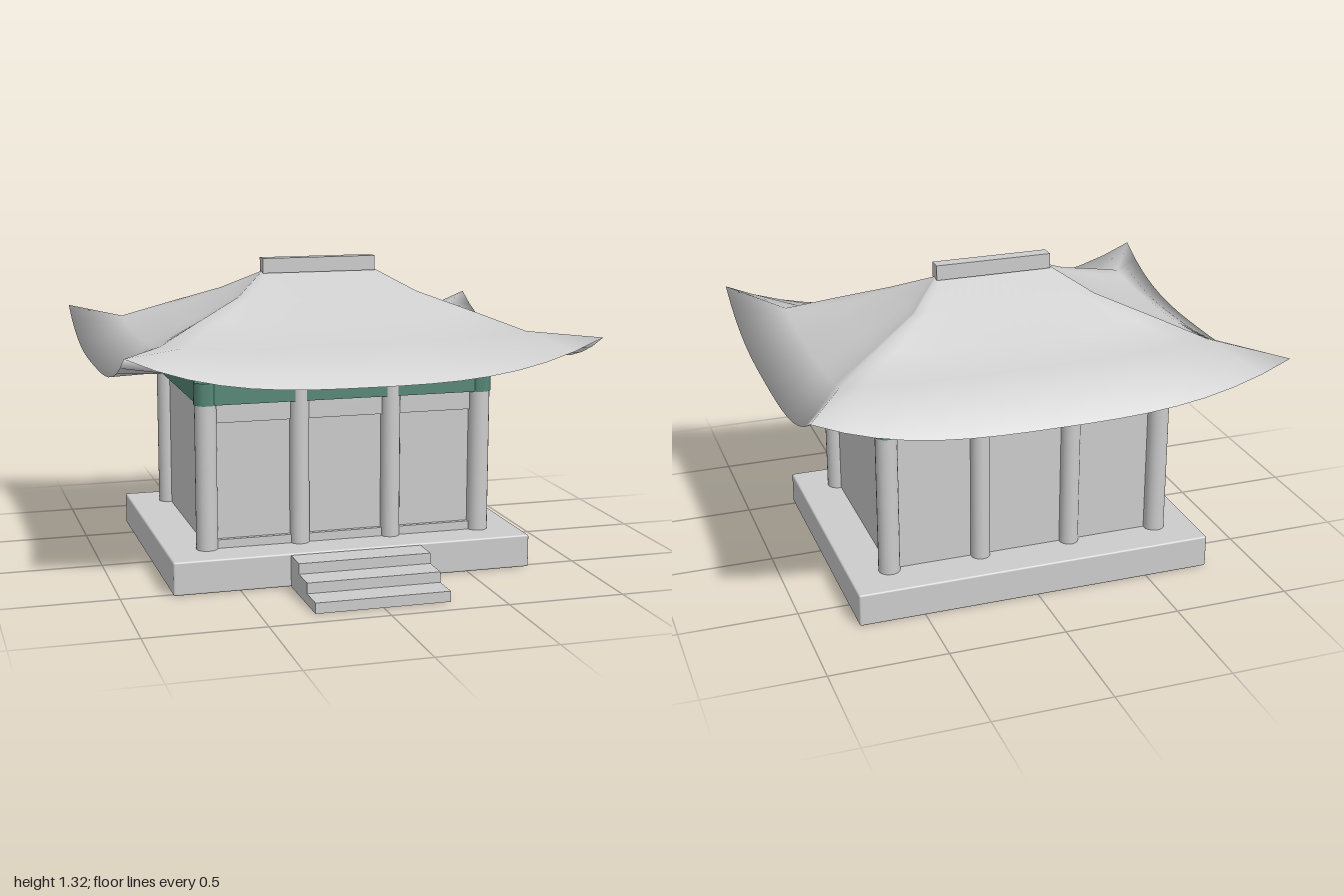
import * as THREE from 'three';
import { RoundedBoxGeometry } from 'three/addons/geometries/RoundedBoxGeometry.js';

const ZC = -0.08; // centre of the hall in z

const grey = new THREE.MeshStandardMaterial({ color: 0xcccccc });
grey.name = 'stone grey';
const green = new THREE.MeshStandardMaterial({ color: 0x558777 });
green.name = 'beam green';

function add(parent, name, geometry, material, x = 0, y = 0, z = 0) {
  const mesh = new THREE.Mesh(geometry, material);
  mesh.name = name;
  mesh.position.set(x, y, z);
  parent.add(mesh);
  return mesh;
}

// box given by its low and high limits on each axis
function block(parent, name, material, [x0, x1], [y0, y1], [z0, z1]) {
  return add(parent, name, new THREE.BoxGeometry(x1 - x0, y1 - y0, z1 - z0), material,
    (x0 + x1) / 2, (y0 + y1) / 2, (z0 + z1) / 2);
}

function post(parent, name, material, r, y0, y1, x, z, sides = 20) {
  return add(parent, name, new THREE.CylinderGeometry(r, r, y1 - y0, sides), material, x, (y0 + y1) / 2, z);
}

// swept hip roof: rectangular rings from the ridge to the eave, then back underneath
function roofGeometry() {
  // half width, half depth, height mid-side, height at the corner
  const rings = [
    [0.25, 0, 1.26, 1.26],
    [0.4, 0.18, 1.155, 1.17],
    [0.6, 0.33, 1.065, 1.095],
    [0.8, 0.48, 0.985, 1.017],
    [1, 0.82, 0.87, 1.03],
    [0.78, 0.6, 0.88, 0.93],
  ];
  const N = 16, count = 4 * N;
  const position = [], index = [];
  for (const [hx, hz, mid, corner] of rings) {
    for (let side = 0; side < 4; side++) {
      for (let i = 0; i < N; i++) {
        const u = -1 + (2 * i) / N;
        const y = mid + (corner - mid) * Math.abs(u) ** 3;
        const [x, z] = [[u * hx, hz], [hx, -u * hz], [-u * hx, -hz], [-hx, u * hz]][side];
        position.push(x, y, z);
      }
    }
  }
  for (let r = 0; r < rings.length - 1; r++) {
    for (let j = 0; j < count; j++) {
      const k = (j + 1) % count;
      const a = r * count + j, b = r * count + k;
      index.push(a + count, b + count, b, a + count, b, a);
    }
  }
  // close the underside
  const last = (rings.length - 1) * count, centre = position.length / 3;
  position.push(0, 0.88, 0);
  for (let j = 0; j < count; j++) index.push(centre, last + ((j + 1) % count), last + j);

  const geometry = new THREE.BufferGeometry();
  geometry.setAttribute('position', new THREE.Float32BufferAttribute(position, 3));
  geometry.setIndex(index);
  geometry.computeVertexNormals();
  return geometry;
}

export function createModel() {
  const model = new THREE.Group();
  model.name = 'pavilion';

  // plinth and front stairs
  add(model, 'plinth', new RoundedBoxGeometry(1.565, 0.143, 1.21, 2, 0.008), grey, 0, 0.0715, ZC);
  const stairs = new THREE.Group();
  stairs.name = 'stairs';
  model.add(stairs);
  for (let i = 0; i < 3; i++) {
    const z = 0.525 + i * 0.125;
    block(stairs, 'step', grey, [-0.285, 0.285], [0, 0.135 - i * 0.045], [z, z + 0.125]);
  }

  // hall walls
  block(model, 'hall', grey, [-0.6, 0.6], [0.14, 0.8], [ZC - 0.425, ZC + 0.425]);

  // lintels and sills in the three front bays
  for (const [x0, x1] of [[-0.565, -0.24], [-0.165, 0.165], [0.24, 0.565]]) {
    block(model, 'lintel', grey, [x0, x1], [0.68, 0.765], [0.34, 0.36]);
    block(model, 'sill', grey, [x0, x1], [0.143, 0.18], [0.34, 0.365]);
  }

  // columns, corner caps and beams
  for (const side of [-1, 1]) {
    const z = ZC + side * 0.432;
    for (const x of [-0.605, 0.605]) {
      post(model, 'cornerColumn', grey, 0.046, 0.143, 0.77, x, z);
      post(model, 'cornerCap', green, 0.05, 0.76, 0.855, x, z, 8).rotation.y = Math.PI / 8;
    }
    for (const x of [-0.202, 0.202]) post(model, 'innerColumn', grey, 0.042, 0.143, 0.83, x, z);
    block(model, 'longBeam', green, [-0.605, 0.605], [0.76, 0.855], [z - 0.034, z + 0.034]);
    const x = side * 0.605;
    block(model, 'shortBeam', green, [x - 0.034, x + 0.034], [0.76, 0.855], [ZC - 0.432, ZC + 0.432]);
  }

  // roof and ridge
  add(model, 'roof', roofGeometry(), grey, 0, 0, ZC);
  block(model, 'ridge', grey, [-0.255, 0.255], [1.25, 1.315], [ZC - 0.03, ZC + 0.03]);

  return model;
}
